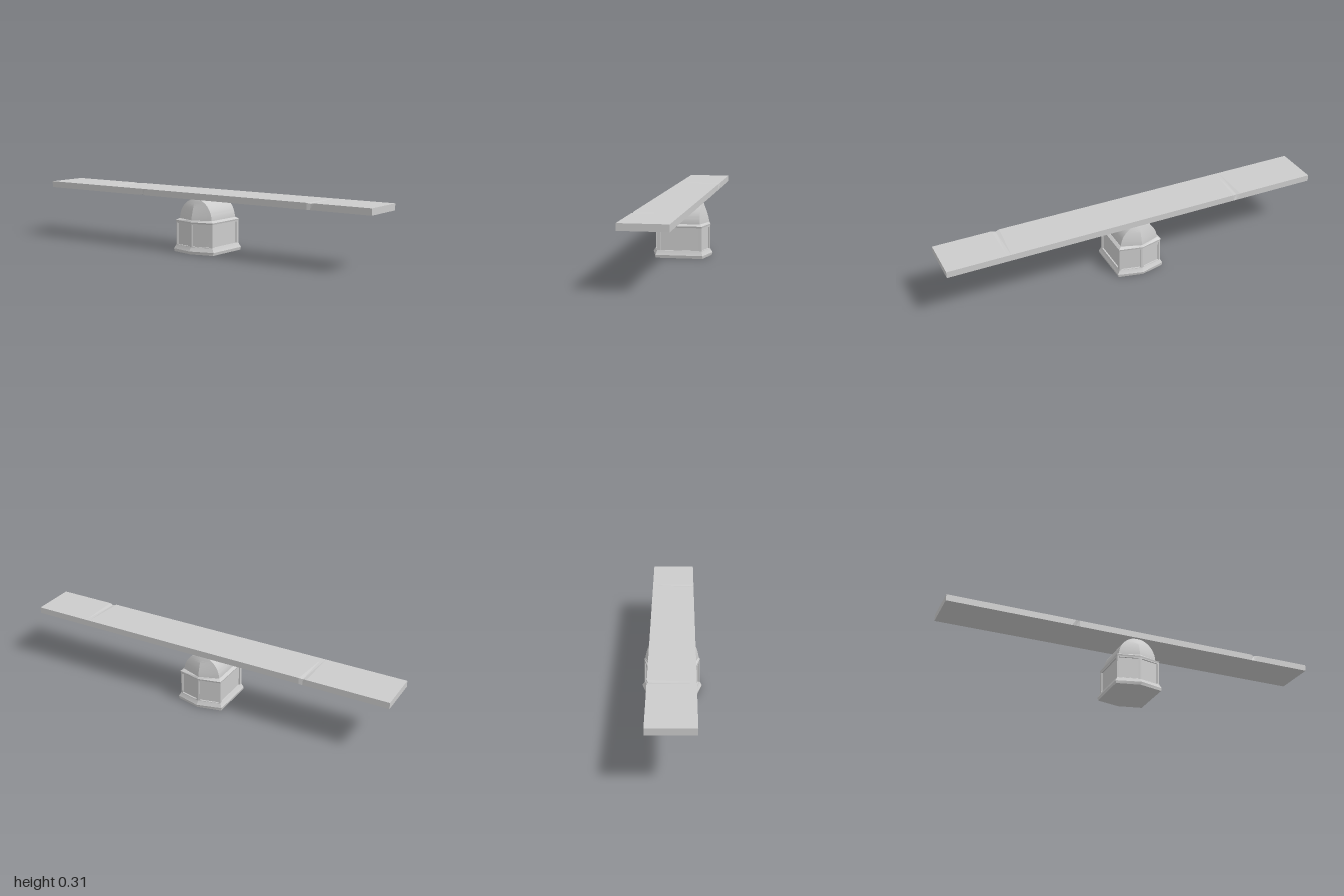
import * as THREE from 'three';
import { toCreasedNormals } from 'three/addons/utils/BufferGeometryUtils.js';

const material = new THREE.MeshStandardMaterial({ color: 0xcccccc });

function addMesh(parent, name, geometry) {
  const mesh = new THREE.Mesh(geometry, material);
  mesh.name = name;
  parent.add(mesh);
  return mesh;
}

// Six-sided outline: half width w, corner depth s, pointed front and back at depth p
const outline = (w, s, p) => [[0, p], [w, s], [w, -s], [0, -p], [-w, -s], [-w, s]];

// Closed loft through levels of [y, w, s, p]
function hexLoft(levels, crease = 0.3) {
  const pos = [];
  const rings = levels.map(([y, w, s, p]) => outline(w, s, p).map(([x, z]) => [x, y, z]));
  const tri = (...points) => points.forEach((q) => pos.push(...q));
  for (let i = 0; i < rings.length - 1; i++) {
    for (let j = 0; j < 6; j++) {
      const k = (j + 1) % 6;
      tri(rings[i][j], rings[i][k], rings[i + 1][k]);
      tri(rings[i][j], rings[i + 1][k], rings[i + 1][j]);
    }
  }
  const bottom = rings[0], top = rings[rings.length - 1];
  for (let j = 1; j < 5; j++) {
    tri(bottom[0], bottom[j + 1], bottom[j]);
    tri(top[0], top[j], top[j + 1]);
  }
  const geometry = new THREE.BufferGeometry();
  geometry.setAttribute('position', new THREE.Float32BufferAttribute(pos, 3));
  return toCreasedNormals(geometry, crease);
}

// Flat frame around a rectangular opening, its outer face at local z = 0
function frameGeometry(width, y0, y1, border, openY0, openY1, depth) {
  const h = width / 2, o = h - border;
  const shape = new THREE.Shape([[-h, y0], [h, y0], [h, y1], [-h, y1]].map((q) => new THREE.Vector2(...q)));
  shape.holes.push(new THREE.Path([[-o, openY0], [-o, openY1], [o, openY1], [o, openY0]].map((q) => new THREE.Vector2(...q))));
  return new THREE.ExtrudeGeometry(shape, { depth, bevelEnabled: false }).translate(0, 0, -depth);
}

// Long board with a few small chips along its edges
function plankGeometry() {
  const halfT = 0.0165, halfD = 0.115;
  const geometry = new THREE.BoxGeometry(2, halfT * 2, halfD * 2, 100, 1, 1);
  const chips = [[0.68, 1, 1], [-0.56, 1, -1], [-0.34, -1, 1]]; // x, top or bottom, front or back
  const pos = geometry.attributes.position;
  for (let i = 0; i < pos.count; i++) {
    const x = pos.getX(i), y = pos.getY(i), z = pos.getZ(i);
    for (const [cx, sy, sz] of chips) {
      if (Math.abs(x - cx) < 0.015 && y * sy > 0 && z * sz > 0) {
        pos.setY(i, y - sy * 0.004);
        pos.setZ(i, z - sz * 0.006);
      }
    }
  }
  return toCreasedNormals(geometry, 0.1);
}

export function createModel() {
  const model = new THREE.Group();
  model.name = 'seesaw';

  // Flared foot
  addMesh(model, 'foot', hexLoft([
    [0, 0.123, 0.120, 0.149],
    [0.015, 0.126, 0.120, 0.154],
    [0.032, 0.117, 0.115, 0.143],
    [0.038, 0.115, 0.113, 0.141],
  ]));

  // Recessed panels, formed by a smaller core behind the frames
  addMesh(model, 'recessedPanels', hexLoft([
    [0.02, 0.108, 0.109, 0.134],
    [0.165, 0.107, 0.108, 0.133],
  ]));

  // Frame on each of the six walls
  const corners = outline(0.115, 0.114, 0.142);
  corners.forEach(([ax, az], i) => {
    const [bx, bz] = corners[(i + 1) % 6];
    const dx = bx - ax, dz = bz - az;
    const isSide = Math.abs(dx) < 0.01;
    const frame = addMesh(model, isSide ? 'sideFrame' : 'endFrame', frameGeometry(
      Math.hypot(dx, dz), 0.03, 0.16, isSide ? 0.017 : 0.01, 0.037, 0.149, 0.007));
    frame.position.set((ax + bx) / 2, 0, (az + bz) / 2);
    frame.rotation.y = Math.atan2(-dz, dx);
  });

  // Cornice sloping in to the dome
  addMesh(model, 'cornice', hexLoft([
    [0.155, 0.115, 0.114, 0.142],
    [0.163, 0.117, 0.116, 0.143],
    [0.172, 0.103, 0.104, 0.137],
  ]));

  // Rounded barrel top with pointed ends that draw in towards the crown
  const domeLevels = [];
  for (let i = 0; i <= 20; i++) {
    const a = (i / 20) * Math.PI * 0.49;
    const t = Math.sin(a);
    domeLevels.push([0.168 + 0.109 * t, 0.101 * Math.cos(a), 0.101, 0.103 + 0.034 * (1 - t ** 1.5)]);
  }
  addMesh(model, 'barrelTop', hexLoft(domeLevels, 0.4));

  // Balanced board
  addMesh(model, 'plank', plankGeometry()).position.set(0, 0.2915, 0.002);

  return model;
}
